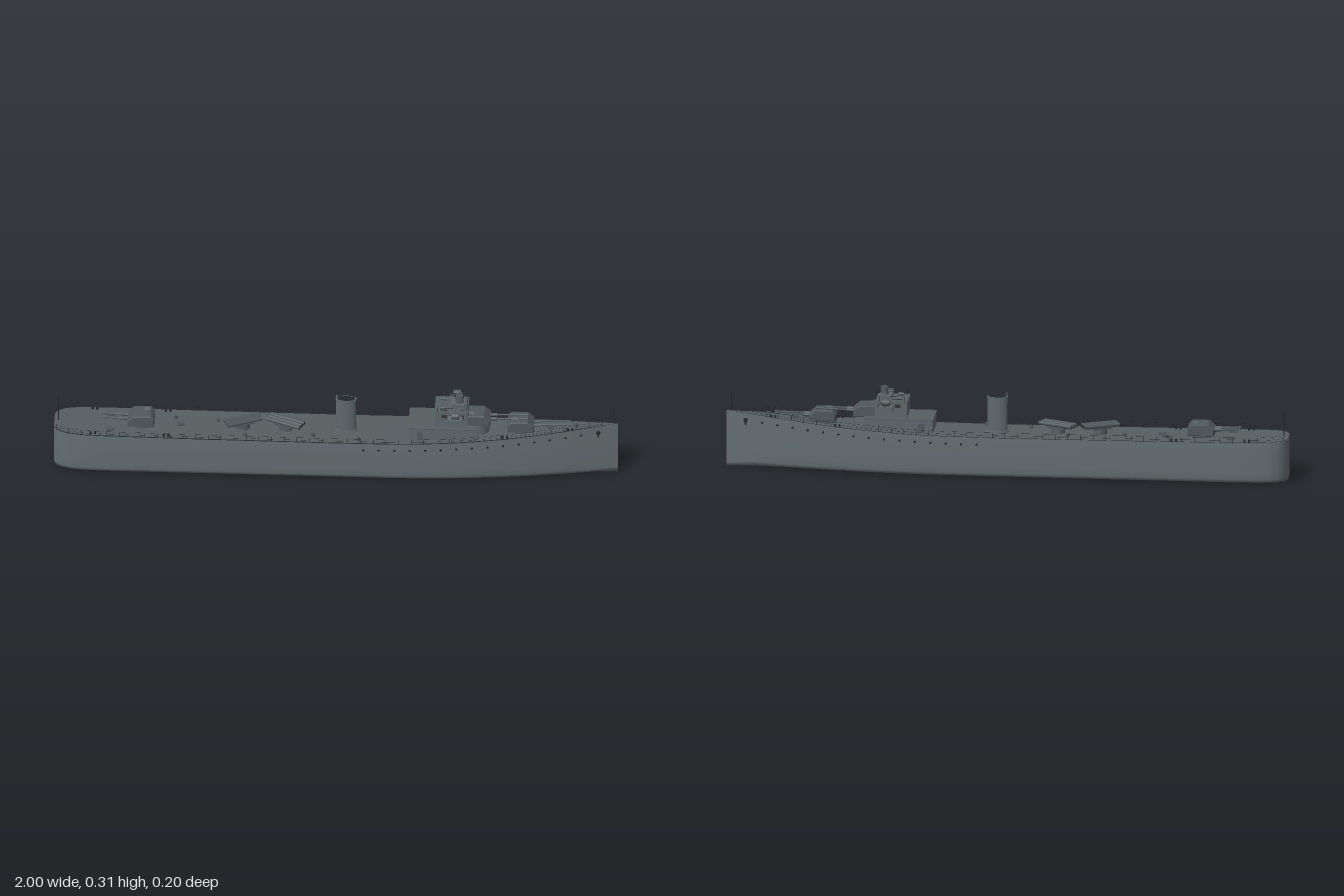
import * as THREE from 'three';

const mat = (name, color, side = THREE.FrontSide) => {
  const m = new THREE.MeshStandardMaterial({ color, side });
  m.name = name;
  return m;
};
const hullGrey = mat('hull grey', 0x636d70, THREE.DoubleSide);
const deckGrey = mat('deck grey', 0x565e61, THREE.DoubleSide);
const houseGrey = mat('superstructure grey', 0x5f686b);
const gunGrey = mat('gun grey', 0x50585b);
const dark = mat('dark fittings', 0x24282a, THREE.DoubleSide);
const glass = mat('window glass', 0x3a3434);

// [x, half beam, deck height]
const stations = [
  [-1, 0.045, 0.158], [-0.99, 0.066, 0.158], [-0.97, 0.081, 0.158], [-0.94, 0.091, 0.157],
  [-0.9, 0.097, 0.156], [-0.82, 0.1, 0.155], [-0.5, 0.1, 0.152], [0, 0.1, 0.15], [0.2, 0.1, 0.151],
  [0.3, 0.098, 0.153], [0.4, 0.094, 0.157], [0.5, 0.086, 0.162], [0.6, 0.075, 0.168],
  [0.7, 0.061, 0.176], [0.8, 0.044, 0.185], [0.9, 0.023, 0.194], [1, 0.0005, 0.203],
];
const sample = (x, k) => {
  let i = 1;
  while (i < stations.length - 1 && stations[i][0] < x) i++;
  const a = stations[i - 1], b = stations[i];
  return THREE.MathUtils.mapLinear(x, a[0], b[0], a[k], b[k]);
};
const beam = x => sample(x, 1), deckY = x => sample(x, 2);

// Skin a list of equal-length cross-sections
function loft(rings) {
  const n = rings[0].length, index = [];
  for (let i = 0; i < rings.length - 1; i++) for (let j = 0; j < n - 1; j++) {
    const a = i * n + j, b = a + n;
    index.push(a, a + 1, b, a + 1, b + 1, b);
  }
  const g = new THREE.BufferGeometry();
  g.setAttribute('position', new THREE.Float32BufferAttribute(rings.flat(2), 3));
  g.setIndex(index);
  g.computeVertexNormals();
  return g;
}
function add(parent, name, geo, material, x = 0, y = 0, z = 0) {
  const m = new THREE.Mesh(geo, material);
  m.name = name;
  m.position.set(x, y, z);
  parent.add(m);
  return m;
}
const box = (p, name, w, h, d, m, x, y, z) => add(p, name, new THREE.BoxGeometry(w, h, d), m, x, y, z);
const cyl = (p, name, r0, r1, h, m, x, y, z, seg = 16) => add(p, name, new THREE.CylinderGeometry(r0, r1, h, seg), m, x, y, z);
function rod(p, name, a, b, r, m, seg = 4) {
  const A = new THREE.Vector3(...a), B = new THREE.Vector3(...b), d = B.clone().sub(A);
  const o = cyl(p, name, r, r, d.length(), m, 0, 0, 0, seg);
  o.position.copy(A).add(B).multiplyScalar(0.5);
  o.quaternion.setFromUnitVectors(new THREE.Vector3(0, 1, 0), d.normalize());
  return o;
}
function group(parent, name, x = 0, y = 0, z = 0, ry = 0) {
  const g = new THREE.Group();
  g.name = name;
  g.position.set(x, y, z);
  g.rotation.y = ry;
  parent.add(g);
  return g;
}
// Chamfered gun house extruded across the beam
function bevelBox(w, h, d, b) {
  const s = new THREE.Shape();
  s.moveTo(-w / 2, 0).lineTo(w / 2, 0).lineTo(w / 2, h * 0.55).lineTo(w / 2 - b, h).lineTo(-w / 2 + b * 0.5, h).lineTo(-w / 2, h - b * 0.5);
  return new THREE.ExtrudeGeometry(s, { depth: d - 0.012, bevelSize: 0.003, bevelThickness: 0.006, bevelSegments: 1 }).translate(0, 0, -d / 2 + 0.006);
}
function gunTurret(parent, name, x, y, ry, width, reach) {
  const t = group(parent, name, x, y, 0, ry);
  cyl(t, 'turretRing', 0.036, 0.038, 0.014, gunGrey, 0, 0.006, 0, 24);
  add(t, 'gunHouse', bevelBox(0.088, 0.036, width, 0.02), gunGrey, 0, 0.012, 0);
  box(t, 'roofHatch', 0.02, 0.004, 0.02, houseGrey, -0.02, 0.052, 0.015);
  for (const z of [-0.013, 0.013]) {
    rod(t, 'gunSleeve', [0.035, 0.028, z], [0.07, 0.029, z], 0.006, gunGrey, 10);
    rod(t, 'gunBarrel', [0.06, 0.029, z], [reach, 0.032, z], 0.0032, gunGrey, 8);
  }
}
function torpedoTubes(parent, x, ry) {
  const t = group(parent, 'torpedoMount', x, deckY(x), 0.005, ry);
  cyl(t, 'mountBase', 0.022, 0.025, 0.02, gunGrey, 0, 0.01, 0, 20);
  box(t, 'mountPlate', 0.07, 0.005, 0.046, gunGrey, 0, 0.021, 0);
  for (const z of [-0.017, 0, 0.017]) {
    rod(t, 'torpedoTube', [-0.066, 0.031, z], [0.066, 0.031, z], 0.0075, gunGrey, 10);
    rod(t, 'tubeMouth', [0.066, 0.031, z], [0.067, 0.031, z], 0.0055, dark, 10);
  }
}
function railing(parent, pts, h, rails) {
  const g = group(parent, 'railing');
  pts.forEach(([x, y, z], i) => {
    rod(g, 'railPost', [x, y, z], [x, y + h, z], 0.0007, dark);
    if (i) for (const f of rails) {
      const q = pts[i - 1];
      rod(g, 'railWire', [q[0], q[1] + h * f, q[2]], [x, y + h * f, z], 0.0004, dark, 3);
    }
  });
}

export function createModel() {
  const ship = new THREE.Group();
  ship.name = 'warship';

  // Hull shell, transom, deck and dark deck edge
  const rings = stations.map(([x, w, y]) => {
    const foot = x > 0.3 ? 1 - 0.1 * (x - 0.3) : 1;
    const half = [[w * 0.975, y], [w, 0.11], [w, 0.045], [w * foot, 0.022], [w * foot * 0.96, 0.011]];
    return [...half.map(([z, h]) => [x, h, z]), [x, 0.001, 0], ...half.reverse().map(([z, h]) => [x, h, -z])];
  });
  add(ship, 'hull', loft(rings), hullGrey);
  const transom = rings[0].slice(0, 6).map((p, i) => [p, rings[0][10 - i]]);
  add(ship, 'transom', loft(transom), hullGrey);
  add(ship, 'deck', loft(stations.map(([x, w, y]) => [[x, y, -w * 0.975], [x, y, w * 0.975]])), deckGrey);
  for (const s of [-1, 1]) add(ship, 'deckEdge', loft(stations.map(([x, w, y]) => {
    const e = [[x, y + 0.0015, s * w * 0.98], [x, y + 0.0015, s * Math.max(w * 0.975 - 0.005, 0)]];
    return s > 0 ? e.reverse() : e;
  })), dark);

  for (const s of [-1, 1]) {
    // Portholes and anchors
    for (let x = 0.1; x < 0.88; x += 0.055) {
      const p = cyl(ship, 'porthole', 0.0042, 0.0042, 0.003, dark, x, deckY(x) - 0.024, s * beam(x) * 0.99, 10);
      p.rotation.x = Math.PI / 2;
    }
    const a = group(ship, 'anchor', 0.93, 0.172, s * 0.0165, s * 0.21);
    cyl(a, 'hawsePipe', 0.008, 0.008, 0.004, dark, 0, 0, 0, 12).rotation.x = Math.PI / 2;
    box(a, 'anchorShank', 0.005, 0.02, 0.005, dark, 0, -0.006, s * 0.002);
    // Deck rails and mooring bollards
    const pts = [];
    for (let x = -0.99; x < 0.99; x += 0.045) pts.push([x, deckY(x), s * beam(x) * 0.965]);
    railing(ship, pts, 0.02, [0.5, 1]);
    for (const x of [-0.86, -0.6, 0.6, 0.83]) for (const d of [-0.008, 0.008])
      cyl(ship, 'bollard', 0.004, 0.004, 0.009, dark, x + d, deckY(x) + 0.0045, s * beam(x) * 0.82, 8);
  }

  // Flagstaffs
  rod(ship, 'sternStaff', [-0.985, 0.155, 0], [-0.985, 0.25, 0], 0.0014, dark, 6);
  rod(ship, 'bowStaff', [0.982, 0.2, 0], [0.982, 0.27, 0], 0.0014, dark, 6);

  // Main guns
  gunTurret(ship, 'foreTurret', 0.655, 0.168, 0, 0.08, 0.175);
  gunTurret(ship, 'upperForeTurret', 0.5, 0.19, 0, 0.08, 0.18);
  gunTurret(ship, 'aftTurret', -0.692, 0.152, Math.PI, 0.08, 0.14);
  torpedoTubes(ship, -0.33, 0.44);
  torpedoTubes(ship, -0.18, -0.44);

  // Funnel
  const f = group(ship, 'funnel', 0.035, 0.148, 0);
  f.scale.z = 0.5;
  cyl(f, 'funnelCasing', 0.035, 0.036, 0.128, houseGrey, 0, 0.064, 0, 32);
  cyl(f, 'funnelBase', 0.04, 0.042, 0.008, houseGrey, 0, 0.004, 0, 32);
  cyl(f, 'funnelCap', 0.038, 0.037, 0.006, houseGrey, 0, 0.128, 0, 32);
  cyl(f, 'funnelMouth', 0.032, 0.032, 0.001, dark, 0, 0.1315, 0, 32);
  rod(ship, 'steamPipe', [0.002, 0.15, 0], [0.002, 0.292, 0], 0.003, houseGrey, 8);

  // Deckhouse and bridge
  const b = group(ship, 'bridgeBlock');
  box(b, 'deckhouse', 0.245, 0.055, 0.136, houseGrey, 0.382, 0.1745, 0);
  box(b, 'deckhouseRoof', 0.249, 0.003, 0.14, deckGrey, 0.382, 0.2025, 0);
  cyl(b, 'turretBarbette', 0.04, 0.042, 0.05, houseGrey, 0.502, 0.175, 0, 24);
  box(b, 'bridge', 0.115, 0.06, 0.108, houseGrey, 0.41, 0.232, 0);
  box(b, 'bridgeRoof', 0.119, 0.003, 0.112, deckGrey, 0.41, 0.2625, 0);
  for (const z of [-0.028, 0, 0.028]) box(b, 'bridgeWindow', 0.003, 0.014, 0.023, glass, 0.468, 0.247, z);
  for (const s of [-1, 1]) {
    for (const x of [0.385, 0.415, 0.445]) box(b, 'sideWindow', 0.02, 0.012, 0.002, glass, x, 0.248, s * 0.0545);
    box(b, 'bridgeWing', 0.05, 0.02, 0.034, houseGrey, 0.425, 0.242, s * 0.071);
    cyl(b, 'lampPost', 0.004, 0.004, 0.012, gunGrey, 0.425, 0.254, s * 0.076, 8);
    rod(b, 'searchlight', [0.412, 0.265, s * 0.076], [0.438, 0.265, s * 0.076], 0.0125, gunGrey, 20);
    rod(b, 'searchlightLens', [0.438, 0.265, s * 0.076], [0.439, 0.265, s * 0.076], 0.0105, dark, 20);
    rod(b, 'lampBracket', [0.425, 0.266, 0], [0.425, 0.266, s * 0.066], 0.002, gunGrey, 6);
    box(b, 'houseDoor', 0.018, 0.032, 0.002, gunGrey, 0.3, 0.172, s * 0.0685);
    rod(b, 'bridgeLocker', [0.37, 0.27, s * 0.03], [0.39, 0.27, s * 0.03], 0.006, gunGrey, 10);
  }
  railing(b, [[0.36, 0.05], [0.39, 0.05], [0.42, 0.05], [0.45, 0.05], [0.465, 0.04], [0.465, 0.02], [0.465, 0],
    [0.465, -0.02], [0.465, -0.04], [0.45, -0.05], [0.42, -0.05], [0.39, -0.05], [0.36, -0.05]].map(([x, z]) => [x, 0.263, z]), 0.018, [0.5, 1]);

  // Gun director with cross-ship rangefinder
  const d = group(b, 'director', 0.437, 0.262, 0);
  box(d, 'directorBase', 0.045, 0.016, 0.042, houseGrey, -0.005, 0.008, 0);
  cyl(d, 'directorColumn', 0.012, 0.016, 0.022, gunGrey, 0, 0.022, 0, 16);
  cyl(d, 'directorHead', 0.014, 0.014, 0.013, gunGrey, 0, 0.035, 0, 16);
  rod(d, 'rangefinder', [0.004, 0.033, -0.028], [0.004, 0.033, 0.028], 0.0045, gunGrey, 10);
  for (const s of [-1, 1]) box(d, 'rangefinderEnd', 0.012, 0.012, 0.006, gunGrey, 0.004, 0.033, s * 0.025);
  box(d, 'directorSight', 0.012, 0.004, 0.014, gunGrey, 0, 0.0435, -0.011);

  // Small deck fittings
  for (const [x, z] of [[-0.57, -0.04], [-0.32, 0.06], [-0.22, -0.05], [-0.42, -0.03], [0.08, 0.07], [-0.08, 0.05]])
    cyl(ship, 'deckVent', 0.007, 0.007, 0.012, gunGrey, x, deckY(x) + 0.006, z, 10);
  for (const [x, z] of [[-0.8, -0.05], [-0.8, 0.05], [-0.55, 0], [0.76, 0]])
    box(ship, 'deckHatch', 0.026, 0.01, 0.02, gunGrey, x, deckY(x) + 0.004, z);
  cyl(ship, 'capstan', 0.007, 0.009, 0.012, gunGrey, 0.85, deckY(0.85) + 0.006, 0, 12);
  return ship;
}
